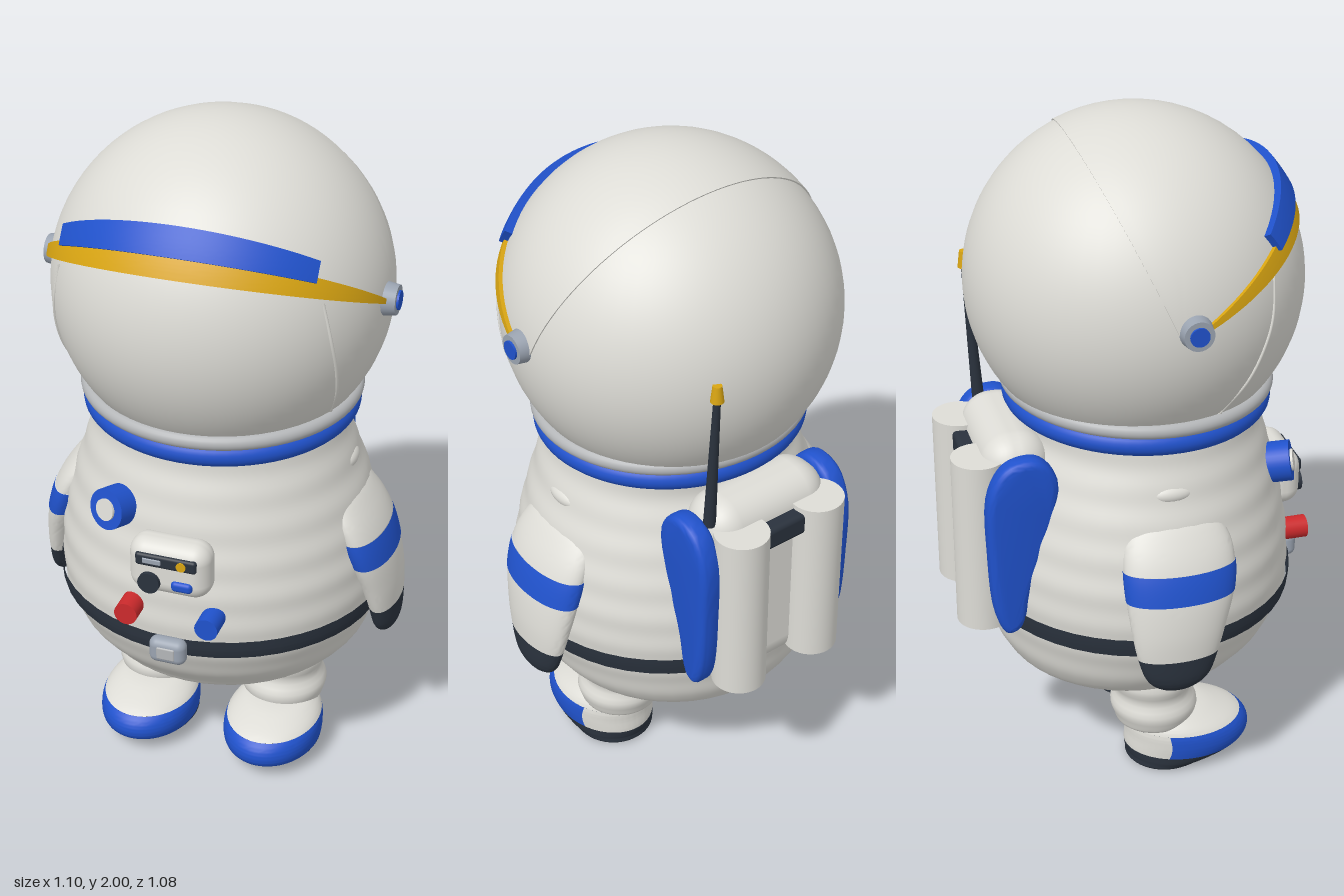
import * as THREE from 'three';
import { mergeVertices, toCreasedNormals } from 'three/addons/utils/BufferGeometryUtils.js';
import { RoundedBoxGeometry } from 'three/addons/geometries/RoundedBoxGeometry.js';

const mat = (name, color) => Object.assign(new THREE.MeshStandardMaterial({ color }), { name });

// Grid surface from a rule; its front faces along du x dv
function grid(nu, nv, fn, crease = 0.7) {
  const pos = [], idx = [], w = nv + 1;
  for (let i = 0; i <= nu; i++) for (let j = 0; j <= nv; j++) pos.push(...fn(i / nu, j / nv));
  for (let i = 0; i < nu; i++) for (let j = 0; j < nv; j++) {
    const a = i * w + j, b = a + w;
    idx.push(a, b, a + 1, b, b + 1, a + 1);
  }
  const g = new THREE.BufferGeometry();
  g.setAttribute('position', new THREE.Float32BufferAttribute(pos, 3));
  g.setIndex(idx);
  return toCreasedNormals(mergeVertices(g, 1e-5), crease);
}

// Smooth stack of ellipses; rows are [y, cx, cz, rx, rz], i0..i1 picks a slice, t0..t1 a sector
function loft(rows, { i0 = 0, i1 = rows.length - 1, t0 = 0, t1 = Math.PI * 2, ripple = 0, freq = 0, grow = 0 } = {}) {
  const n = rows.length - 1;
  const mid = new THREE.CatmullRomCurve3(rows.map(r => new THREE.Vector3(r[1], r[0], r[2])), false, 'catmullrom');
  const rad = new THREE.CatmullRomCurve3(rows.map(r => new THREE.Vector3(r[3], r[4], 0)), false, 'catmullrom');
  return grid(Math.ceil((i1 - i0) * 8), 48, (u, v) => {
    const t = (i0 + (i1 - i0) * u) / n, c = mid.getPoint(t), r = rad.getPoint(t);
    const a = t0 + (t1 - t0) * v, k = 1 + ripple * Math.sin(c.y * freq);
    return [c.x + (r.x * k + grow) * Math.cos(a), Math.max(0, c.y), c.z + (r.y * k + grow) * Math.sin(a)];
  });
}

// Curved plate on a sphere, hinged about the x axis between angles a0 and a1 (degrees)
function band(r0, r1, a0, a1, t0) {
  const n = 16, loop = [];
  for (let i = 0; i <= n; i++) loop.push([1, a0 + (a1 - a0) * i / n]);
  for (let i = n; i >= 0; i--) loop.push([0, a0 + (a1 - a0) * i / n]);
  loop.push(loop[0]);
  const nv = 50;
  return grid(loop.length - 1, nv, (u, v) => {
    const [out, deg] = loop[Math.round(u * (loop.length - 1))], j = Math.round(v * nv);
    const k = Math.min(Math.max(j - 1, 0), nv - 2) / (nv - 2);
    const R = out && j > 0 && j < nv ? r1 : r0;
    const t = t0 + (Math.PI - 2 * t0) * k, a = deg * Math.PI / 180;
    return [R * Math.cos(t), R * Math.sin(t) * Math.sin(a), R * Math.sin(t) * Math.cos(a)];
  });
}

export function createModel() {
  const white = mat('suit white', 0xdddcd6), blue = mat('blue', 0x2052cc), dark = mat('charcoal', 0x2a323d);
  const gold = mat('gold', 0xd9a512), red = mat('red', 0xcc2a2c), grey = mat('grey', 0x9aa3b0);
  const silver = mat('light grey', 0xb4b6b8);
  const model = new THREE.Group();
  const add = (name, geo, m, x = 0, y = 0, z = 0) => {
    const mesh = new THREE.Mesh(geo, m);
    mesh.name = name;
    mesh.position.set(x, y, z);
    model.add(mesh);
    return mesh;
  };
  const disc = (r, d) => new THREE.CylinderGeometry(r, r, d, 32).rotateX(Math.PI / 2);
  const box = (w, h, d, r) => new RoundedBoxGeometry(w, h, d, 5, r);

  // Helmet, raised visor and its trim
  const C = [0, 1.515, 0.025];
  add('helmet', new THREE.SphereGeometry(0.482, 64, 48), white, ...C);
  add('raisedVisor', band(0.47, 0.486, 30, 114, 0.06), white, ...C);
  add('visorGoldRim', band(0.47, 0.497, 24, 33, 0.1), gold, ...C);
  add('visorBlueStripe', band(0.47, 0.508, 30.5, 40, Math.acos(0.36 / 0.508)), blue, ...C);
  for (const s of [1, -1]) {
    const rim = [[0.115, 0.285], [0, 0.277], [-0.09, 0.25], [-0.18, 0.21], [-0.29, 0.14]].map(([y, z]) =>
      new THREE.Vector3(s * Math.sqrt(0.482 ** 2 - y * y - z * z), y, z));
    add('faceOpeningRim', new THREE.TubeGeometry(new THREE.CatmullRomCurve3(rim), 24, 0.005, 8), white, ...C);
    const hinge = add('visorHinge', new THREE.CylinderGeometry(0.042, 0.05, 0.05, 32), grey, s * 0.487, 1.545, 0.06);
    hinge.rotation.z = -s * Math.PI / 2;
    const cap = add('hingeCap', new THREE.CylinderGeometry(0.027, 0.027, 0.06, 32), blue, s * 0.488, 1.545, 0.06);
    cap.rotation.z = -s * Math.PI / 2;
  }

  // Neck rings
  const ring = (name, R, r, m, y) => {
    const g = new THREE.TorusGeometry(R, r, 20, 72).rotateX(Math.PI / 2).scale(1, 1, 0.97);
    add(name, g, m, 0, y, 0.032).rotation.x = 0.02;
  };
  ring('neckRing', 0.366, 0.035, blue, 1.165);
  ring('collarRing', 0.386, 0.022, silver, 1.212);

  // Torso with soft ridges, and belt
  const torso = [
    [0.34, 0, 0, 0.001, 0.001], [0.34, 0, 0, 0.25, 0.25], [0.345, 0, 0, 0.35, 0.345], [0.38, 0, 0, 0.405, 0.385],
    [0.46, 0, 0.015, 0.45, 0.43], [0.545, 0, 0.025, 0.476, 0.455], [0.602, 0, 0.025, 0.483, 0.46],
    [0.7, 0, 0.025, 0.482, 0.457], [0.8, 0, 0.027, 0.466, 0.44], [0.9, 0, 0.03, 0.44, 0.415],
    [1.0, 0, 0.035, 0.406, 0.385], [1.08, 0, 0.04, 0.38, 0.355], [1.17, 0, 0.035, 0.36, 0.345],
  ];
  add('torso', loft(torso, { ripple: 0.004, freq: 62 }), white);
  add('belt', loft(torso, { i0: 5, i1: 6, grow: 0.009 }), dark).material.side = THREE.DoubleSide;
  add('beltBuckle', box(0.11, 0.08, 0.05, 0.024), grey, 0, 0.57, 0.51);
  add('buckleInset', box(0.055, 0.04, 0.012, 0.005), silver, 0, 0.57, 0.532);

  // Chest controls
  add('controlPanel', box(0.24, 0.17, 0.11, 0.05), white, 0, 0.835, 0.465);
  add('panelDisplay', box(0.18, 0.04, 0.02, 0.0095), dark, 0, 0.87, 0.515);
  add('displayBar', box(0.055, 0.017, 0.008, 0.0035), grey, -0.04, 0.87, 0.524);
  add('displayLight', disc(0.014, 0.012), gold, 0.047, 0.87, 0.523);
  add('panelKnob', disc(0.032, 0.03), dark, -0.048, 0.8, 0.518);
  add('panelSwitch', box(0.062, 0.032, 0.025, 0.012), blue, 0.047, 0.8, 0.518);
  add('redButton', disc(0.034, 0.1), red, -0.12, 0.678, 0.48);
  add('blueButton', disc(0.034, 0.1), blue, 0.12, 0.678, 0.48);
  const aim = new THREE.Vector3(-0.4, 0.2, 1).normalize();
  [['chestValve', 0.06, 0.08, blue, 0], ['valveCentre', 0.032, 0.03, white, 0.032]].forEach(([name, r, d, m, out]) => {
    const p = new THREE.Vector3(-0.188, 0.953, 0.41).addScaledVector(aim, out);
    add(name, disc(r, d), m, p.x, p.y, p.z).quaternion.setFromUnitVectors(new THREE.Vector3(0, 0, 1), aim);
  });

  for (const s of [1, -1]) {
    // Arms: mitten, sleeve, stripe, sleeve
    const arm = [
      [0.448, 0.512, 0.012, 0.001, 0.001], [0.455, 0.512, 0.012, 0.022, 0.05], [0.49, 0.512, 0.014, 0.038, 0.092],
      [0.56, 0.506, 0.016, 0.046, 0.118], [0.64, 0.492, 0.022, 0.057, 0.138], [0.732, 0.468, 0.032, 0.066, 0.157],
      [0.815, 0.44, 0.036, 0.068, 0.162], [0.885, 0.405, 0.037, 0.062, 0.15], [0.94, 0.37, 0.036, 0.045, 0.11],
      [0.96, 0.35, 0.036, 0.001, 0.001],
    ].map(([y, x, ...r]) => [y, x * s, ...r]);
    add('mitten', loft(arm, { i1: 3 }), dark);
    add('forearm', loft(arm, { i0: 3, i1: 5 }), white);
    add('armStripe', loft(arm, { i0: 5, i1: 6, grow: 0.002 }), blue);
    add('upperArm', loft(arm, { i0: 6 }), white);
    add('shoulderFold', new THREE.SphereGeometry(1, 24, 16).scale(0.03, 0.028, 0.065), white, s * 0.378, 1.01, 0.03);

    // Legs with stacked folds
    const leg = [[0.145, 0, 0.001], [0.146, 0.035, 0.12], [0.25, 0.03, 0.12], [0.38, 0.025, 0.125]]
      .map(([y, z, r]) => [y, s * 0.2, z, r, r]);
    add('leg', loft(leg, { ripple: 0.045, freq: 70 }), white);

    // Boots: sole, blue toe, white heel and top
    const boot = [
      [0, 0.06, 0.001, 0.001], [0, 0.06, 0.105, 0.1], [0.02, 0.09, 0.13, 0.14], [0.05, 0.13, 0.142, 0.185],
      [0.09, 0.14, 0.148, 0.192], [0.13, 0.128, 0.142, 0.178], [0.16, 0.1, 0.115, 0.135],
      [0.175, 0.08, 0.08, 0.09], [0.178, 0.08, 0.001, 0.001],
    ].map(([y, z, rx, rz]) => [y, s * 0.2, z, rx, rz]);
    add('sole', loft(boot, { i1: 3 }), dark);
    add('bootToe', loft(boot, { i0: 3, i1: 5, t0: -0.45, t1: Math.PI + 0.45 }), blue);
    add('bootHeel', loft(boot, { i0: 3, i1: 5, t0: Math.PI + 0.45, t1: Math.PI * 2 - 0.45 }), white);
    add('bootTop', loft(boot, { i0: 5 }), white);

    // Backpack tanks and side fins
    add('airTank', new THREE.CylinderGeometry(0.079, 0.079, 0.53, 40), white, s * 0.135, 0.805, -0.465);
    const outline = [[0.265, 1.03], [0.32, 1.098], [0.41, 1.085], [0.462, 1.0], [0.468, 0.8], [0.45, 0.6],
      [0.42, 0.545], [0.38, 0.56], [0.345, 0.7], [0.295, 0.85]].map(p => new THREE.Vector3(...p, 0));
    const shape = new THREE.Shape(new THREE.CatmullRomCurve3(outline, true).getPoints(48).slice(0, -1));
    const fin = new THREE.ExtrudeGeometry(shape, {
      depth: 0.025, bevelSize: 0.022, bevelThickness: 0.022, bevelOffset: -0.022, bevelSegments: 5,
    }).rotateY(Math.PI / 2).translate(-0.0125, 0, 0);
    add('packFin', toCreasedNormals(fin, 0.7), blue, s * 0.236, 0, 0);
  }

  // Backpack core, clamp and antenna
  add('packCore', box(0.42, 0.63, 0.2, 0.09), white, 0, 0.815, -0.36);
  add('tankClamp', box(0.15, 0.07, 0.06, 0.015), dark, 0, 1.02, -0.47);
  const mast = add('antennaMast', new THREE.CylinderGeometry(0.01, 0.018, 0.44, 16), dark, 0.193, 1.3, -0.408);
  mast.rotation.x = -0.06;
  add('antennaTip', new THREE.CylinderGeometry(0.013, 0.019, 0.05, 20), gold, 0.193, 1.532, -0.421);
  return model;
}
